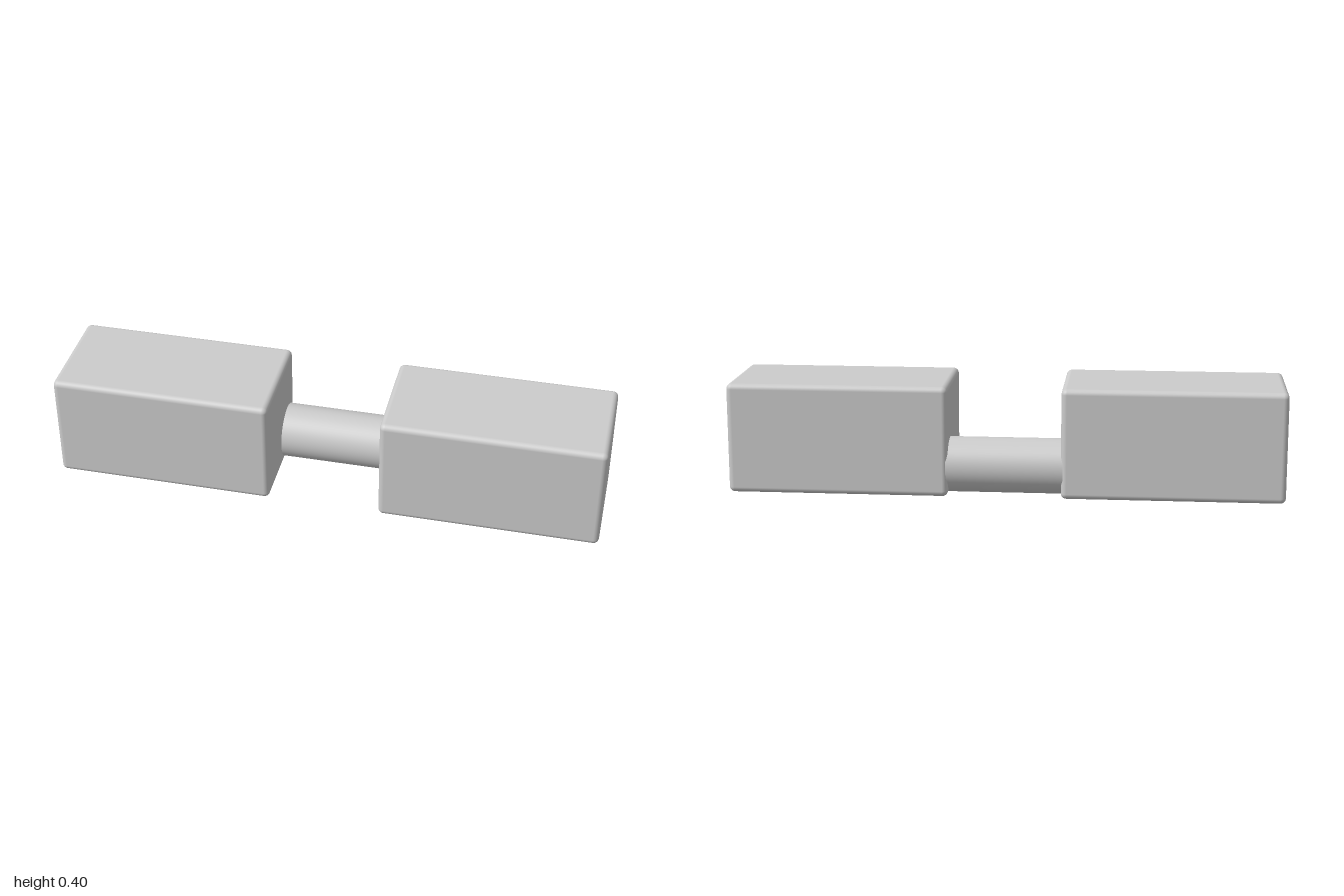
import * as THREE from 'three';
import { RoundedBoxGeometry } from 'three/addons/geometries/RoundedBoxGeometry.js';

export function createModel() {
  const group = new THREE.Group();
  const material = new THREE.MeshStandardMaterial({ color: 0xcccccc });

  // Two matching end blocks with softly rounded edges
  const blockGeometry = new RoundedBoxGeometry(0.797, 0.4, 0.4, 5, 0.02);
  for (const [name, side] of [['leftBlock', 1], ['rightBlock', -1]]) {
    const block = new THREE.Mesh(blockGeometry, material);
    block.name = name;
    block.position.set(side * 0.6015, 0.2, 0);
    group.add(block);
  }

  // Round bar joining the blocks along their lower back edges
  const barGeometry = new THREE.CylinderGeometry(0.1, 0.1, 0.42, 64);
  barGeometry.rotateZ(Math.PI / 2);
  const bar = new THREE.Mesh(barGeometry, material);
  bar.name = 'connectingBar';
  bar.position.set(0, 0.1, -0.1);
  group.add(bar);

  return group;
}
